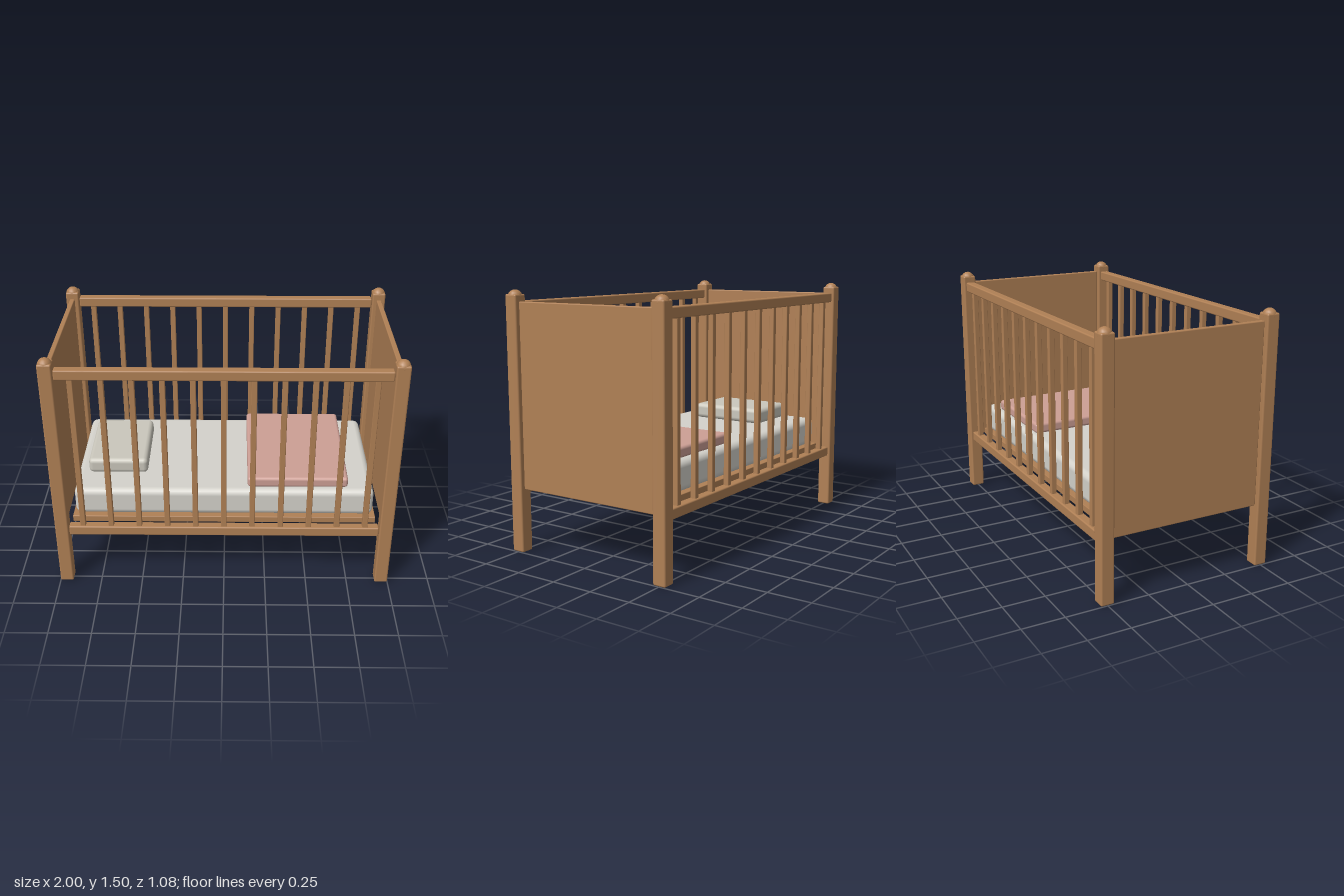
import * as THREE from 'three';
import { RoundedBoxGeometry } from 'three/addons/geometries/RoundedBoxGeometry.js';

const material = (color) => new THREE.MeshStandardMaterial({ color });

export function createModel() {
  const crib = new THREE.Group();
  crib.name = 'crib';
  const wood = material(0xb08055);
  const sheet = material(0xd4d2cb);
  const pillowCloth = material(0xcac7bc);
  const blanketCloth = material(0xcd9f95);

  // Soft-edged block given by its extents along each axis
  function block(name, [x0, x1], [y0, y1], [z0, z1], radius, mat, segments = 2) {
    const geometry = new RoundedBoxGeometry(x1 - x0, y1 - y0, z1 - z0, segments, radius);
    const mesh = new THREE.Mesh(geometry, mat);
    mesh.position.set((x0 + x1) / 2, (y0 + y1) / 2, (z0 + z1) / 2);
    mesh.name = name;
    crib.add(mesh);
    return mesh;
  }
  const around = (centre, size) => [centre - size / 2, centre + size / 2];

  // Corner posts with domed caps
  const capGeometry = new THREE.SphereGeometry(0.041, 16, 10);
  for (const sx of [-1, 1]) {
    for (const sz of [-1, 1]) {
      block('cornerPost', around(sx * 0.96, 0.08), [0, 1.475], around(sz * 0.5, 0.08), 0.01, wood);
      const cap = new THREE.Mesh(capGeometry, wood);
      cap.name = 'postCap';
      cap.position.set(sx * 0.96, 1.459, sz * 0.5);
      crib.add(cap);
    }
    // Solid end panel
    block('endPanel', around(sx * 0.96, 0.03), [0.37, 1.435], [-0.46, 0.46], 0.006, wood);
  }

  // Slatted sides: two rails joined by upright slats
  const slatCount = 11;
  for (const sz of [-1, 1]) {
    const z = sz * 0.5;
    block('bottomRail', [-0.918, 0.918], [0.34, 0.4], around(z, 0.055), 0.008, wood);
    block('topRail', [-0.918, 0.918], [1.376, 1.436], around(z, 0.055), 0.008, wood);
    for (let i = 0; i < slatCount; i++) {
      const x = -0.835 + (1.67 * i) / (slatCount - 1);
      block('slat', around(x, 0.032), [0.39, 1.386], around(z, 0.032), 0.004, wood, 1);
    }
  }

  // Mattress base
  block('mattressBase', [-0.905, 0.905], [0.38, 0.42], [-0.445, 0.445], 0.004, wood, 1);

  // Bedding
  block('mattress', [-0.89, 0.89], [0.42, 0.597], [-0.43, 0.43], 0.04, sheet);
  block('pillow', [-0.82, -0.462], [0.595, 0.692], [-0.247, 0.247], 0.028, pillowCloth);
  block('blanket', [0.14, 0.735], [0.595, 0.66], [-0.39, 0.39], 0.018, blanketCloth);

  return crib;
}
